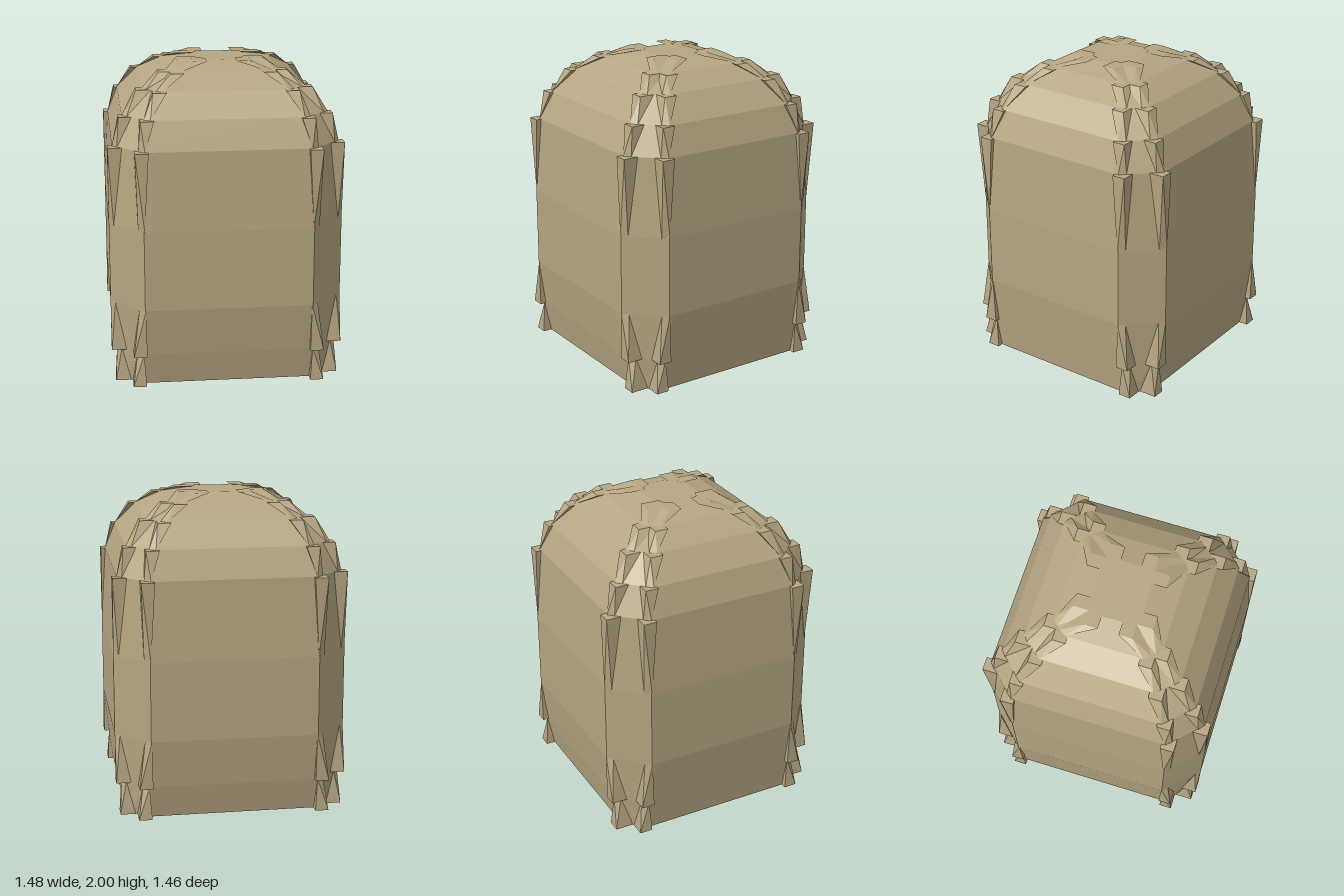
import * as THREE from 'three';
import { ConvexGeometry } from 'three/addons/geometries/ConvexGeometry.js';

// Each ring: height, half width, half depth, corner x on the front face, corner z on the side face
const RINGS = [
  [0, 0.68, 0.65, 0.55, 0.53],
  [0.21, 0.705, 0.69, 0.545, 0.525],
  [0.52, 0.74, 0.73, 0.53, 0.515],
  [1.03, 0.74, 0.73, 0.53, 0.515],
  [1.53, 0.71, 0.695, 0.52, 0.5],
  [1.71, 0.645, 0.62, 0.48, 0.45],
  [1.86, 0.515, 0.495, 0.395, 0.36],
  [1.95, 0.36, 0.34, 0.275, 0.25],
  [1.995, 0.19, 0.16, 0.12, 0.09],
];

// Chips: [narrow ring, wide ring, how far the wide end overhangs towards the narrow end's outline]
const CHIPS = [
  [1, 0, 1.5], [2, 1, 1], [3, 4, 1], [4, 5, 0.35],
  [5, 6, 0.3], [6, 7, 0.3], [7, 8, 0.5],
];

// Counter-clockwise octagon seen from above
function octagon([y, w, d, a, b]) {
  return [[a, d], [w, b], [w, -b], [a, -d], [-a, -d], [-w, -b], [-w, b], [-a, d]]
    .map(([x, z]) => [x, y, z]);
}

// Flat-faced loft through the rings with closed ends
function bodyGeometry() {
  const loops = RINGS.map(octagon);
  const positions = [];
  const tri = (...points) => points.forEach((p) => positions.push(...p));
  for (let r = 0; r < loops.length - 1; r++) {
    for (let i = 0; i < 8; i++) {
      const j = (i + 1) % 8;
      const [lo, hi] = [loops[r], loops[r + 1]];
      tri(lo[i], lo[j], hi[j]);
      tri(lo[i], hi[j], hi[i]);
    }
  }
  const [bottom, top] = [loops[0], loops[loops.length - 1]];
  for (let i = 1; i < 7; i++) {
    tri(top[0], top[i], top[i + 1]);
    tri(bottom[0], bottom[i + 1], bottom[i]);
  }
  const geometry = new THREE.BufferGeometry();
  geometry.setAttribute('position', new THREE.Float32BufferAttribute(positions, 3));
  geometry.computeVertexNormals();
  return geometry;
}

// Wedge on one chamfer edge; onSide swaps the front face for the side face
function chipGeometry([n, w, overhang], onSide, sx, sz) {
  const read = (i) => {
    const [y, hx, hz, a, b] = RINGS[i];
    return onSide ? { y, out: hx, along: b } : { y, out: hz, along: a };
  };
  const narrow = read(n);
  const wide = read(w);
  const out = wide.out + (narrow.out - wide.out) * overhang;
  const y = w === RINGS.length - 1 ? 2 : wide.y;
  const points = [
    [narrow.along - 0.005, narrow.y, narrow.out],
    [narrow.along + 0.035, narrow.y, narrow.out - 0.03],
    [wide.along - 0.025, y, out],
    [wide.along + 0.06, y, out],
    [wide.along + 0.06, y, wide.out - 0.06],
    [wide.along - 0.025, y, wide.out - 0.03],
  ];
  return new ConvexGeometry(points.map(([along, py, o]) => (onSide
    ? new THREE.Vector3(sx * o, py, sz * along)
    : new THREE.Vector3(sx * along, py, sz * o))));
}

export function createModel() {
  const group = new THREE.Group();
  group.name = 'chippedStone';
  const stone = new THREE.MeshStandardMaterial({ color: 0xb5a582, flatShading: true });
  stone.name = 'sandstone';

  // Domed block with bevelled corners
  const body = new THREE.Mesh(bodyGeometry(), stone);
  body.name = 'domedBlock';
  group.add(body);

  // Rough chips along both edges of each corner bevel
  for (const sx of [-1, 1]) {
    for (const sz of [-1, 1]) {
      const corner = new THREE.Group();
      corner.name = `${sz > 0 ? 'front' : 'back'}${sx > 0 ? 'Left' : 'Right'}CornerChips`;
      for (const chip of CHIPS) {
        for (const onSide of [false, true]) {
          const mesh = new THREE.Mesh(chipGeometry(chip, onSide, sx, sz), stone);
          mesh.name = 'cornerChip';
          corner.add(mesh);
        }
      }
      group.add(corner);
    }
  }
  return group;
}
